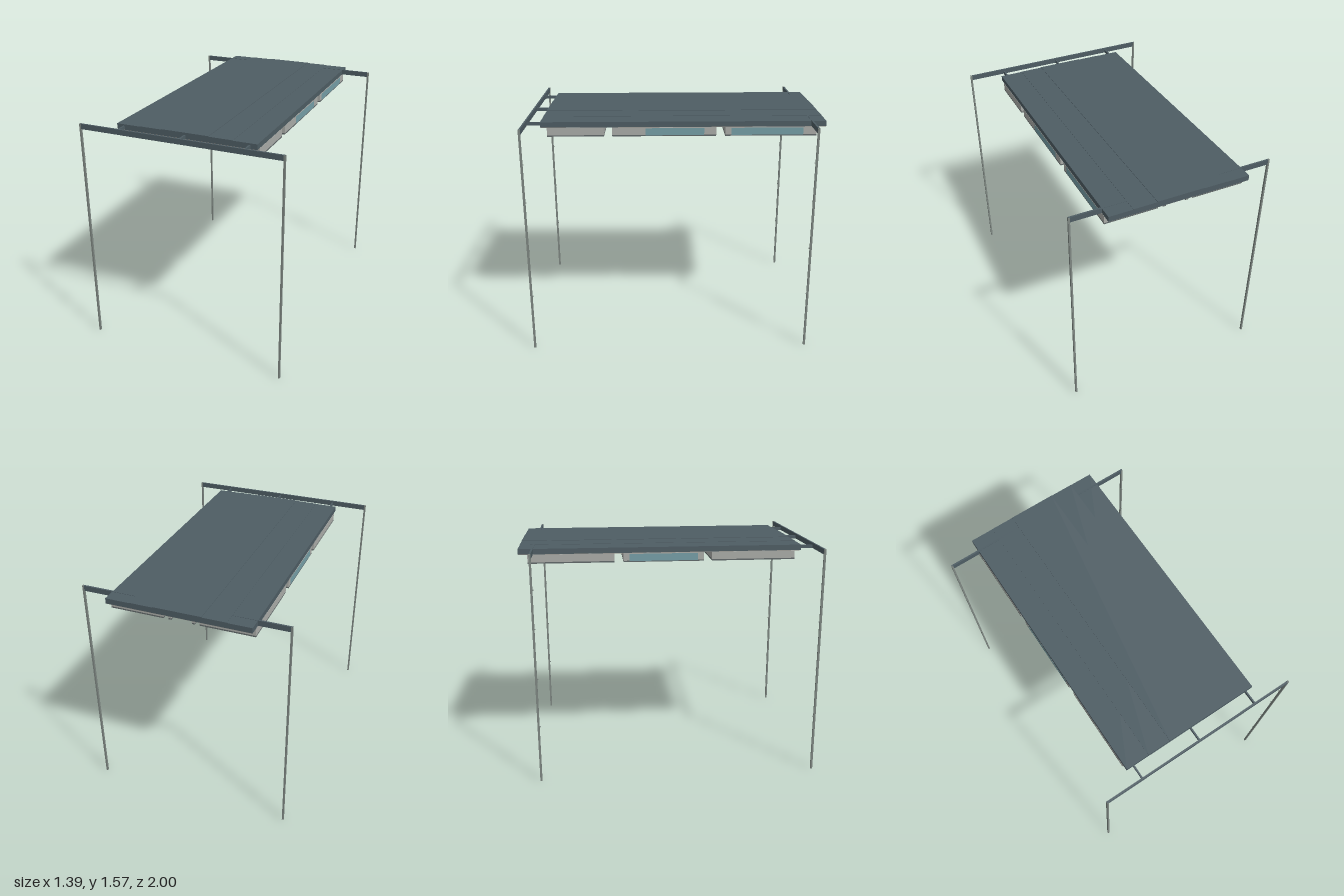
import * as THREE from 'three';

const mat = (name, color) => {
  const m = new THREE.MeshStandardMaterial({ color });
  m.name = name;
  return m;
};

export function createModel() {
  const model = new THREE.Group();
  model.name = 'raisedDeck';
  const slate = mat('slate', 0x4e5d64);
  const steel = mat('steel', 0x7f8883);
  const lightGrey = mat('light grey', 0xabada9);
  const rimGrey = mat('rim grey', 0x626a6b);
  const panelGrey = mat('warm grey panel', 0x97948d);
  const seamDark = mat('dark seam', 0x55544f);
  const glass = mat('blue glass', 0x769fa7);

  // Box given by its minimum and maximum along each axis
  const box = (name, material, [x0, x1], [y0, y1], [z0, z1], parent = model) => {
    const mesh = new THREE.Mesh(new THREE.BoxGeometry(x1 - x0, y1 - y0, z1 - z0), material);
    mesh.position.set((x0 + x1) / 2, (y0 + y1) / 2, (z0 + z1) / 2);
    mesh.name = name;
    parent.add(mesh);
    return mesh;
  };

  // Deck slab with a shallow stepped crown and a warm grey soffit
  box('deckSlab', slate, [-0.48, 0.48], [1.532, 1.568], [-1, 0.893]);
  box('deckLowerStep', slate, [-0.32, 0.32], [1.568, 1.57], [-1, 0.893]);
  box('deckUpperStep', slate, [-0.16, 0.16], [1.57, 1.573], [-1, 0.893]);
  box('deckSoffit', panelGrey, [-0.478, 0.478], [1.529, 1.533], [-0.998, 0.891]);

  // Portal frames: crossbeam, two slim legs, pins on the inner side
  const frame = (name, z, inward) => {
    const g = new THREE.Group();
    g.name = name;
    model.add(g);
    box('crossbeam', slate, [-0.693, 0.693], [1.535, 1.57], [z - 0.006, z + 0.006], g);
    for (const x of [-0.688, 0.688]) {
      box('leg', steel, [x - 0.006, x + 0.006], [0, 1.57], [z - 0.007, z + 0.007], g);
      for (const y of [0.4, 0.74, 1.08, 1.34]) {
        const zc = z + inward * 0.009;
        box('legPin', steel, [x - 0.003, x + 0.003], [y - 0.003, y + 0.003], [zc - 0.005, zc + 0.005], g);
      }
    }
  };
  frame('frontFrame', 0.993, -1);
  frame('backFrame', -0.907, 1);

  // Brackets joining the deck to the front frame
  for (const x of [-0.43, 0, 0.43])
    box('bracket', slate, [x - 0.005, x + 0.005], [1.535, 1.558], [0.88, 0.99]);

  // Open-bottomed bay: four walls with a darker lower rim, ceiling panel with seams
  const T = 0.012, Y0 = 1.47, Y1 = 1.53, RIM = 1.479;
  const wall = (parent, xr, zr) => {
    box('wall', lightGrey, xr, [RIM, Y1], zr, parent);
    box('wallRim', rimGrey, xr, [Y0, RIM], zr, parent);
  };
  const bay = (side, z0, z1, windowRange) => {
    const g = new THREE.Group();
    g.name = side > 0 ? 'leftBay' : 'rightBay';
    model.add(g);
    const span = (a, b) => (side > 0 ? [a, b] : [-b, -a]);
    const outer = span(0.48 - T, 0.48);
    // outer wall, split around its window
    if (windowRange) {
      const [w0, w1] = windowRange;
      wall(g, outer, [z0, w0]);
      wall(g, outer, [w1, z1]);
      box('window', glass, outer, [1.476, 1.524], [w0, w1], g);
      box('windowSill', rimGrey, outer, [Y0, 1.476], [w0, w1], g);
      box('windowHead', lightGrey, outer, [1.524, Y1], [w0, w1], g);
    } else wall(g, outer, [z0, z1]);
    wall(g, span(0.12, 0.12 + T), [z0, z1]);
    const inner = span(0.12 + T, 0.48 - T);
    wall(g, inner, [z0, z0 + T]);
    wall(g, inner, [z1 - T, z1]);
    box('ceilingPanel', panelGrey, inner, [1.524, 1.531], [z0 + T, z1 - T], g);
    const count = Math.max(2, Math.round((z1 - z0) / 0.18));
    for (let i = 1; i < count; i++) {
      const z = z0 + ((z1 - z0) * i) / count;
      box('ceilingSeam', seamDark, inner, [1.522, 1.525], [z - 0.002, z + 0.002], g);
    }
    // small link between the bay and the central rail
    const zc = (z0 + z1) / 2;
    box('railLink', lightGrey, span(0.085, 0.12), [1.508, Y1], [zc - 0.02, zc + 0.02], g);
  };
  bay(1, 0.475, 0.85);
  bay(1, -0.27, 0.42, [-0.19, 0.2]);
  bay(1, -0.94, -0.33, [-0.85, -0.37]);
  bay(-1, 0.285, 0.85);
  bay(-1, -0.31, 0.23, [-0.27, 0.19]);
  bay(-1, -0.94, -0.37);

  // Central pair of rails
  for (const x of [-0.079, 0.077]) {
    const g = new THREE.Group();
    g.name = 'centreRail';
    model.add(g);
    wall(g, [x - 0.01, x + 0.01], [-0.94, 0.85]);
  }
  return model;
}
